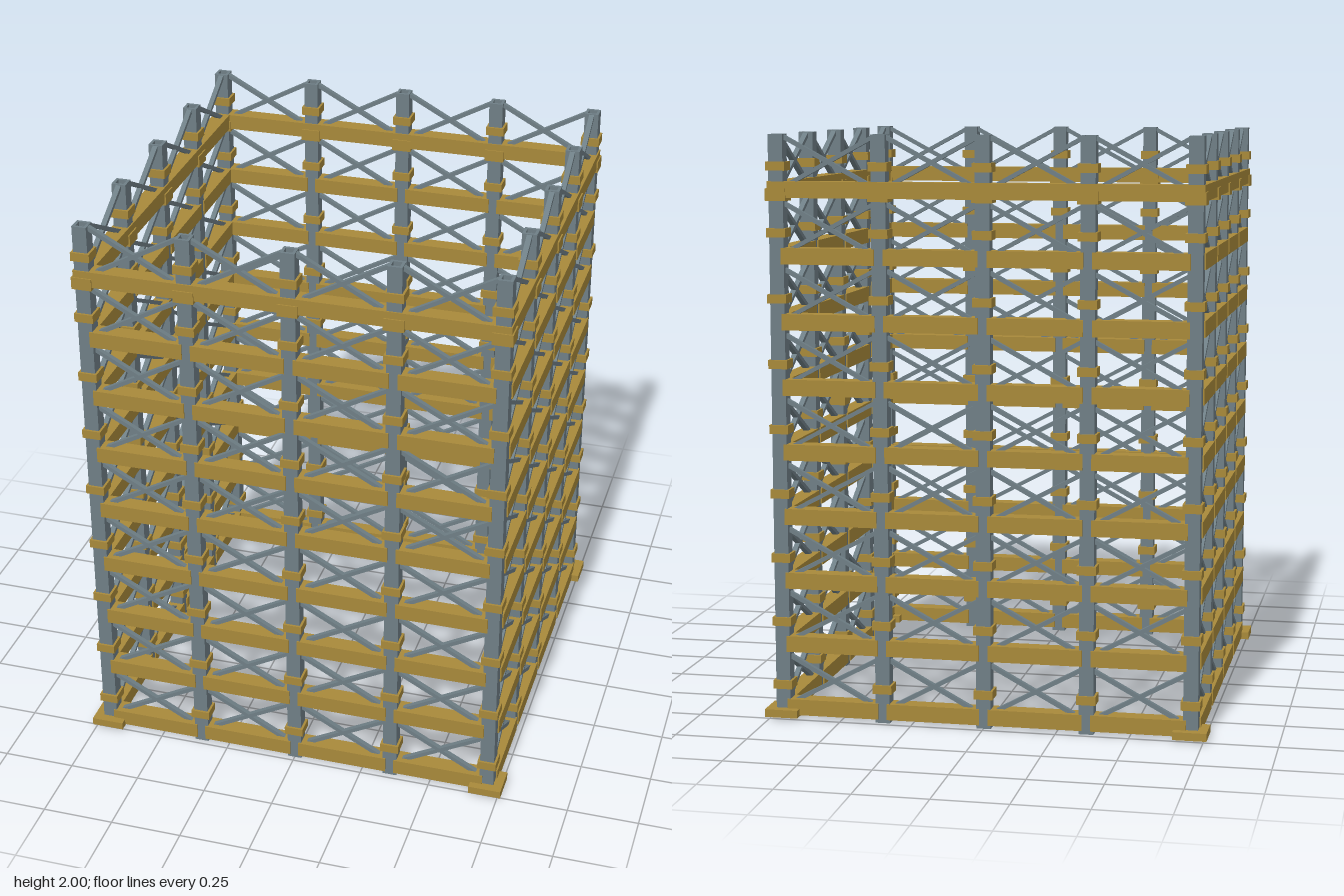
import * as THREE from 'three';

export function createModel() {
  const model = new THREE.Group();
  model.name = 'scaffoldTower';
  const steel = new THREE.MeshStandardMaterial({ color: 0x6f7f86 });
  steel.name = 'blue grey steel';
  const ochre = new THREE.MeshStandardMaterial({ color: 0xa8893a });
  ochre.name = 'ochre beam';

  const R = 0.705, BAY = R / 2, PITCH = 0.222, LEVELS = 9, BEAM0 = 0.04;

  function add(parent, name, geometry, material, x, y, z) {
    const mesh = new THREE.Mesh(geometry, material);
    mesh.name = name;
    mesh.position.set(x, y, z);
    parent.add(mesh);
    return mesh;
  }

  // Square tube standing on y = 0
  function squareTube(outer, inner, height) {
    const square = (path, s) => {
      const h = s / 2;
      path.moveTo(-h, -h).lineTo(h, -h).lineTo(h, h).lineTo(-h, h).closePath();
      return path;
    };
    const shape = square(new THREE.Shape(), outer);
    shape.holes.push(square(new THREE.Path(), inner));
    const g = new THREE.ExtrudeGeometry(shape, { depth: height, bevelEnabled: false });
    return g.rotateX(-Math.PI / 2);
  }

  const postGeo = squareTube(0.05, 0.03, 2);
  const coreGeo = new THREE.BoxGeometry(0.03, 1.97, 0.03);
  const collarGeo = squareTube(0.066, 0.048, 0.03);
  const topCollarGeo = squareTube(0.07, 0.048, 0.042);
  const plateGeo = new THREE.BoxGeometry(0.115, 0.027, 0.115);
  const beamGeo = new THREE.BoxGeometry(BAY - 0.03, 0.055, 0.06);
  const topBeamGeo = new THREE.BoxGeometry(2 * R + 0.06, 0.055, 0.06);

  // Crossed braces: half run and half rise within one bay
  const run = 0.158, rise = 0.085;
  const braceGeo = new THREE.BoxGeometry(2 * Math.hypot(run, rise), 0.014, 0.018);
  const tilt = Math.atan2(rise, run);

  // Four identical sides, each owning one corner post and three inner posts
  for (let s = 0; s < 4; s++) {
    const side = new THREE.Group();
    side.name = ['frontSide', 'leftSide', 'backSide', 'rightSide'][s];
    side.rotation.y = s * Math.PI / 2;
    model.add(side);

    for (let i = 0; i < 4; i++) {
      const x = -R + i * BAY;
      add(side, 'post', postGeo, steel, x, 0, R);
      add(side, 'postCore', coreGeo, steel, x, 0.99, R);
      for (let k = 0; k < LEVELS; k++) {
        add(side, 'collar', collarGeo, ochre, x, 0.103 + k * PITCH, R);
      }
      add(side, 'topCollar', topCollarGeo, ochre, x, 1.778, R);
    }
    add(side, 'basePlate', plateGeo, ochre, -R, 0.0215, R);

    // Beams and braces bay by bay, level by level
    for (let k = 0; k < LEVELS; k++) {
      const y = BEAM0 + k * PITCH;
      for (let i = 0; i < 4; i++) {
        const x = -R + (i + 0.5) * BAY;
        if (k < LEVELS - 1) add(side, 'beam', beamGeo, ochre, x, y, R);
        for (const dir of [-1, 1]) {
          add(side, 'brace', braceGeo, steel, x, y + 0.092, R).rotation.z = dir * tilt;
        }
      }
    }
    add(side, 'topBeam', topBeamGeo, ochre, 0, BEAM0 + 8 * PITCH, R);
  }
  return model;
}
